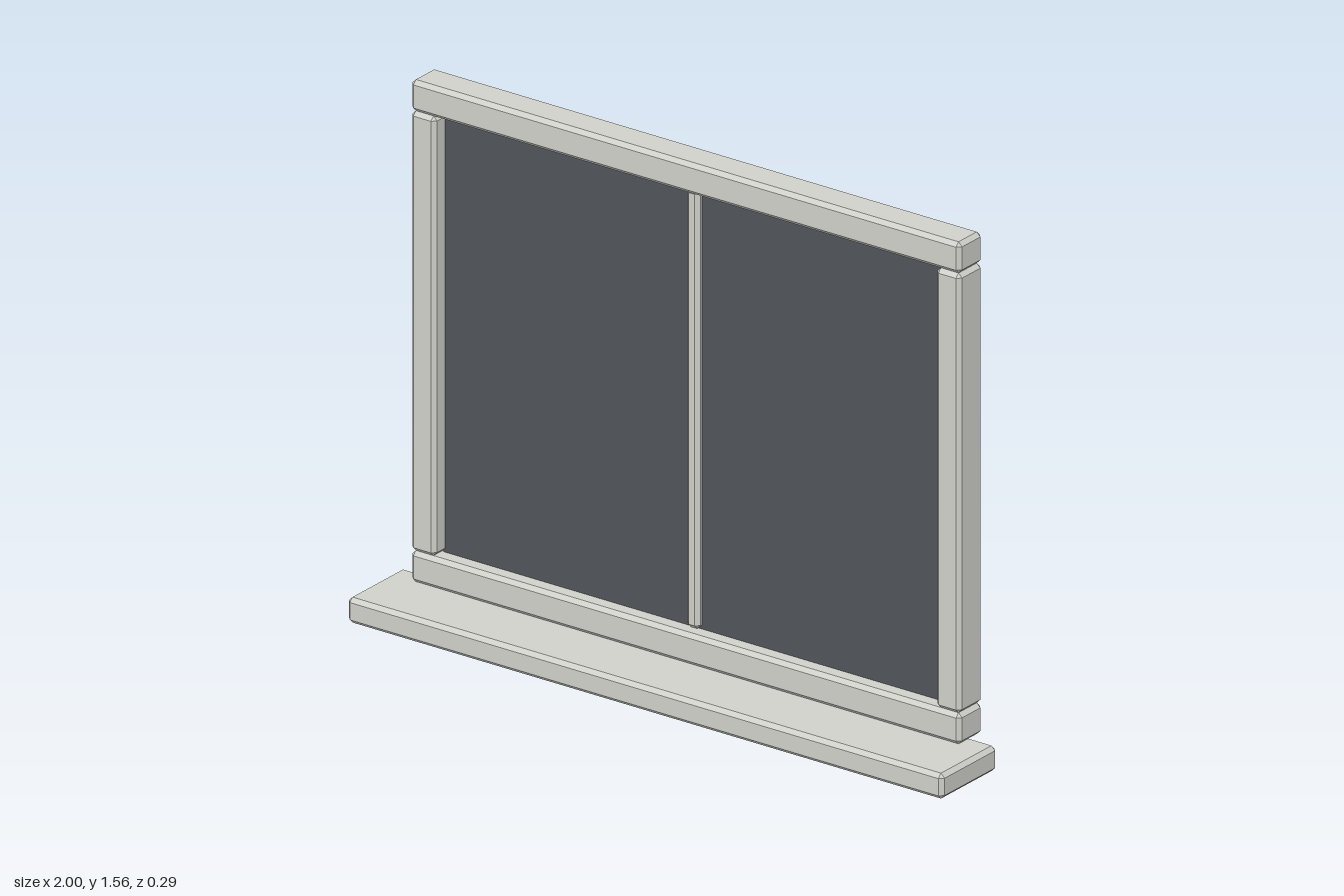
import * as THREE from 'three';
import { ConvexGeometry } from 'three/addons/geometries/ConvexGeometry.js';

// Box with every edge and corner cut at 45 degrees
function chamferBox(w, h, d, c) {
  const points = [];
  for (const x of [-1, 1]) for (const y of [-1, 1]) for (const z of [-1, 1]) {
    const X = x * w / 2, Y = y * h / 2, Z = z * d / 2;
    points.push(
      new THREE.Vector3(X, Y - y * c, Z - z * c),
      new THREE.Vector3(X - x * c, Y, Z - z * c),
      new THREE.Vector3(X - x * c, Y - y * c, Z)
    );
  }
  return new ConvexGeometry(points);
}

export function createModel() {
  const group = new THREE.Group();
  const frameMat = new THREE.MeshStandardMaterial({ color: 0xd0d0ca });
  frameMat.name = 'pale grey frame';
  const glassMat = new THREE.MeshStandardMaterial({ color: 0x50555a });
  glassMat.name = 'dark glass';

  const frameZ = -0.092, frameDepth = 0.107, cut = 0.012;

  function add(name, geometry, material, x, y, z) {
    const mesh = new THREE.Mesh(geometry, material);
    mesh.name = name;
    mesh.position.set(x, y, z);
    group.add(mesh);
  }

  // Projecting sill
  add('sill', chamferBox(2, 0.075, 0.253, cut), frameMat, 0, 0.0375, 0.0185);

  // Horizontal rails
  const rail = chamferBox(1.846, 0.092, frameDepth, cut);
  add('bottomRail', rail, frameMat, 0, 0.122, frameZ);
  add('topRail', rail, frameMat, 0, 1.511, frameZ);

  // Side posts
  const post = chamferBox(0.083, 1.297, frameDepth, cut);
  for (const [name, side] of [['leftPost', 1], ['rightPost', -1]]) {
    add(name, post, frameMat, side * 0.8815, 0.8165, frameZ);
  }

  // Centre bar and glazing
  add('mullion', chamferBox(0.044, 1.297, 0.044, cut), frameMat, 0, 0.8165, frameZ);
  add('glass', new THREE.BoxGeometry(1.69, 1.297, 0.009), glassMat, 0, 0.8165, frameZ);

  return group;
}
